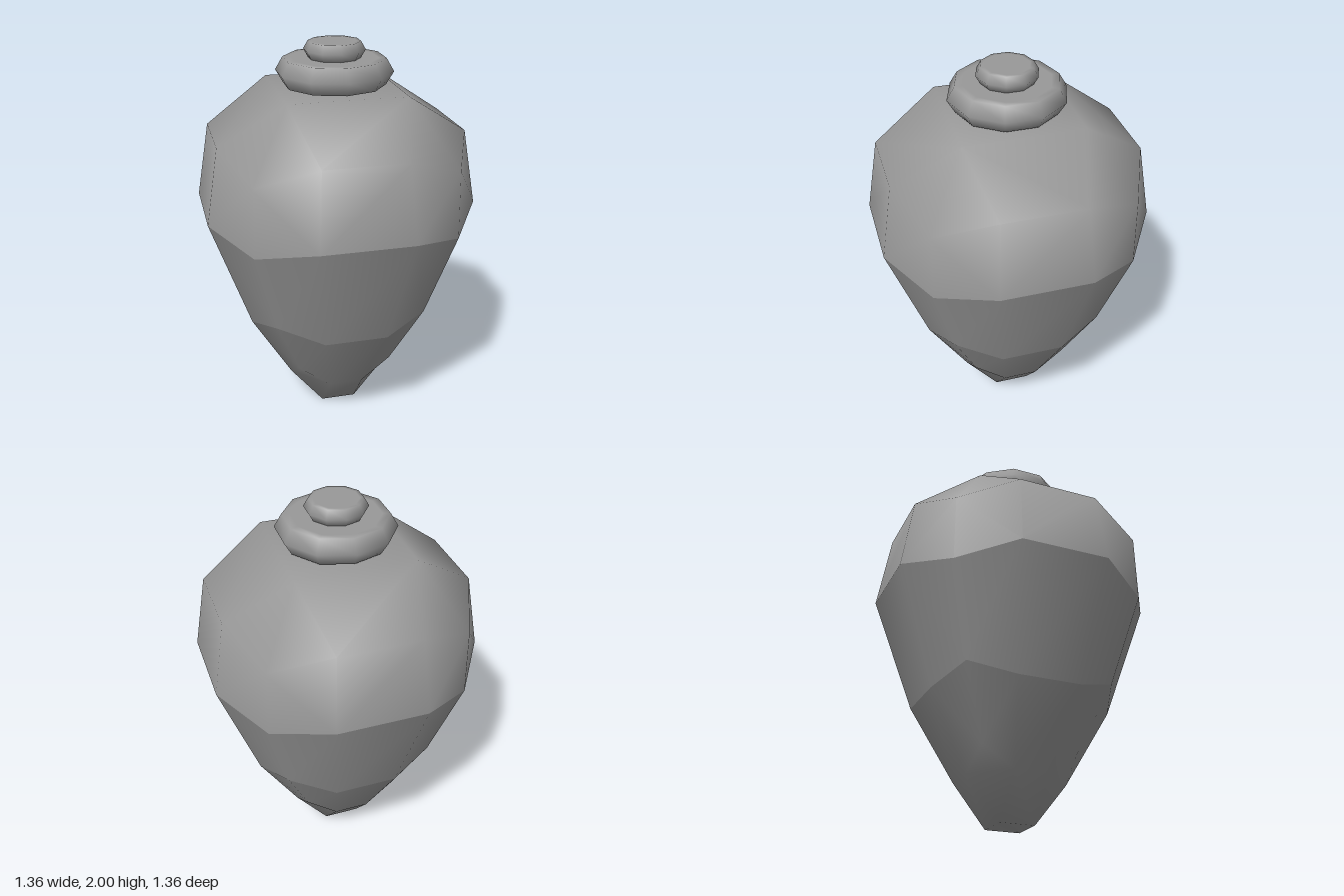
import * as THREE from 'three';
import { mergeVertices } from 'three/addons/utils/BufferGeometryUtils.js';

const material = new THREE.MeshStandardMaterial({ color: 0x999999 });

// One horizontal band (0 bottom, 1 middle, 2 top) of a 3x3x3 box,
// rounded to a sphere and tapered towards the foot.
function bodyBand(band) {
  const box = new THREE.BoxGeometry(2, 2, 2, 3, 3, 3);
  const index = box.index.array;
  const corner = (i) => new THREE.Vector3().fromBufferAttribute(box.attributes.position, i);
  const shape = (p) => {
    p.normalize();
    const taper = 0.641 + 0.373 * p.y;
    return p.set(p.x * taper, 0.89 + 0.983 * p.y, p.z * taper);
  };
  const points = [];
  for (let i = 0; i < index.length; i += 6) {
    // Each box cell is stored as triangles a b d and b c d
    const [a, b, d, , c] = Array.from(index.slice(i, i + 6), corner);
    const middleY = (a.y + c.y) / 2;
    const row = middleY > 0.5 ? 2 : middleY > -0.5 ? 1 : 0;
    if (row !== band) continue;
    [a, b, c, d].forEach(shape);
    // Split along the shorter diagonal so the surface stays convex
    const split = a.distanceTo(c) < b.distanceTo(d) ? [a, b, c, a, c, d] : [a, b, d, b, c, d];
    points.push(...split);
  }
  const geometry = mergeVertices(new THREE.BufferGeometry().setFromPoints(points), 1e-4);
  geometry.computeVertexNormals(); // smooth inside the band, sharp between bands
  return geometry;
}

// Ten-sided disc with a pointed, softly shaded rim
function rimDisc(radius, flatRadius, bottom, top) {
  const inset = flatRadius * 0.85;
  const profile = [
    [0, bottom], [inset, bottom], [flatRadius, bottom],
    [radius, (bottom + top) / 2],
    [flatRadius, top], [inset, top], [0, top],
  ].map(([r, y]) => new THREE.Vector2(r, y));
  return new THREE.LatheGeometry(profile, 10);
}

export function createModel() {
  const model = new THREE.Group();
  model.name = 'taperedJar';
  const add = (name, geometry) => {
    const mesh = new THREE.Mesh(geometry, material);
    mesh.name = name;
    model.add(mesh);
  };

  // Body
  ['bodyBottom', 'bodyMiddle', 'bodyTop'].forEach((name, i) => add(name, bodyBand(i)));

  // Collar and cap
  add('collar', rimDisc(0.293, 0.255, 1.79, 1.92));
  add('cap', rimDisc(0.153, 0.13, 1.92, 2));
  return model;
}
